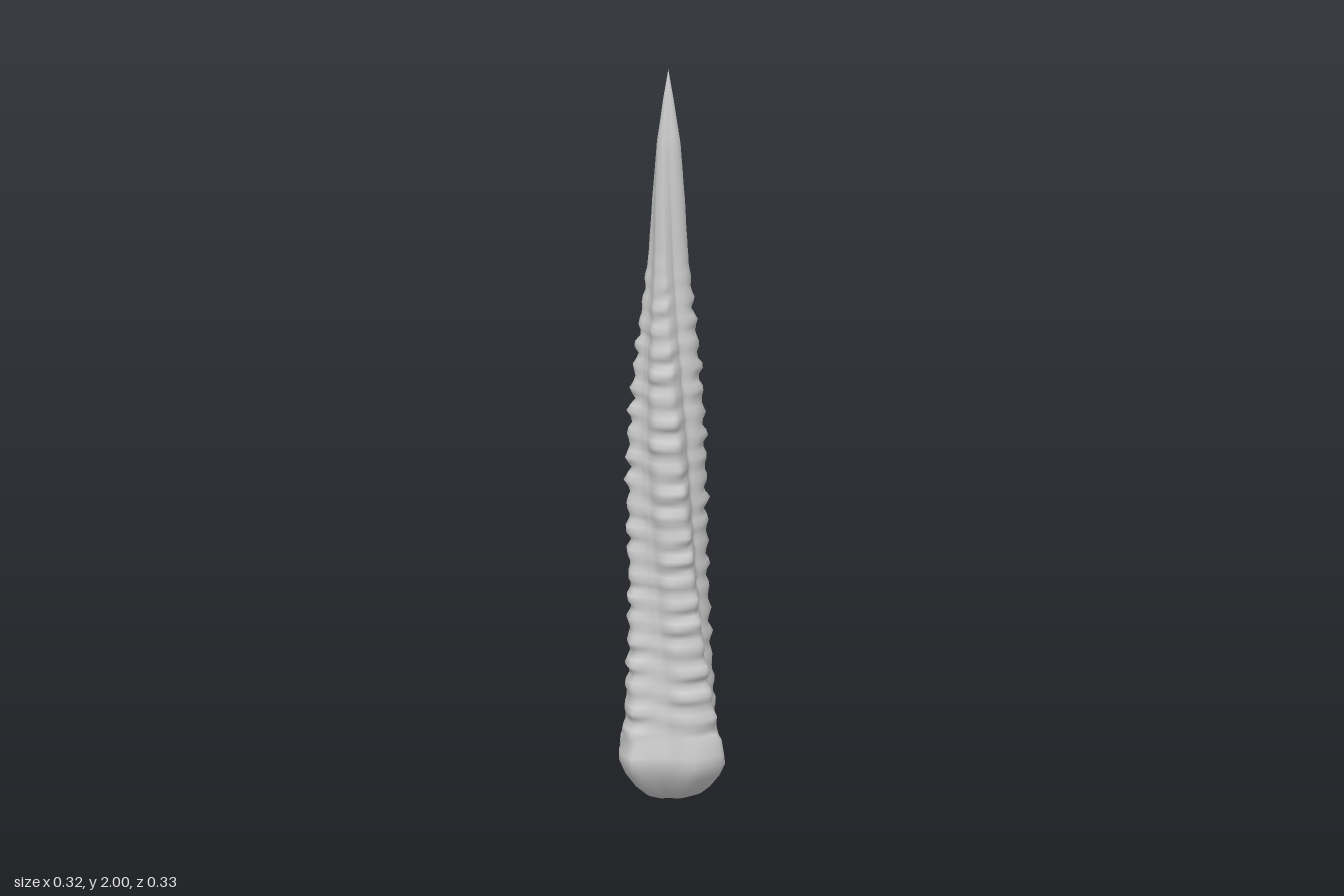
import * as THREE from 'three';

const { clamp, degToRad, euclideanModulo, lerp, smoothstep } = THREE.MathUtils;

// Horn radius factor up its height: [y, scale]
const PROFILE = [[0, 0], [0.004, 0.3], [0.02, 0.55], [0.045, 0.74], [0.08, 0.92], [0.115, 1.03], [0.14, 1.02],
  [0.18, 0.93], [0.3, 0.85], [0.4, 0.78], [0.6, 0.7], [0.8, 0.67], [1.0, 0.63], [1.2, 0.52], [1.4, 0.38],
  [1.5, 0.32], [1.65, 0.28], [1.8, 0.22], [1.92, 0.1], [2, 0]];

// Four swept lobes with a groove after each: [degrees from +x towards +z, radius]
const LOBES = [[-17, 0.105], [2, 0.135], [14, 0.162], [50, 0.155], [72, 0.128], [90, 0.132], [110, 0.17], [150, 0.138],
  [172, 0.115], [200, 0.168], [231, 0.155], [247, 0.122], [275, 0.163], [300, 0.15], [318, 0.135], [343, 0.105]];

const RIDGE_STEP = 0.062;

function sample(table, t) {
  let i = 1;
  while (i < table.length - 1 && table[i][0] < t) i++;
  const [a, va] = table[i - 1], [b, vb] = table[i];
  return lerp(va, vb, clamp((t - a) / (b - a), 0, 1));
}

// Radius of the surface at a height and angle
function radiusAt(y, deg) {
  // the lobes spiral around the axis above the bulb
  const twist = 50 * Math.max(0, y - 0.13);
  const a = euclideanModulo(deg - twist + 17, 360) - 17;
  // lobes soften into a rounder section at the tip
  const soften = smoothstep(y, 1.4, 1.95) * 0.5;
  const section = lerp(sample(LOBES, a), 0.14, soften);
  // angular growth ridges, strongest on the lobe crests and uneven in size
  const fade = smoothstep(y, 0.1, 0.2) * (1 - smoothstep(y, 1.2, 1.55));
  const rad = degToRad(a);
  const phase = 0.15 * Math.sin(2 * rad) + 0.1 * Math.sin(y * 9 + rad);
  const wave = 4 * Math.abs(euclideanModulo(y / RIDGE_STEP + phase, 1) - 0.5) - 1;
  const uneven = 0.75 + 0.35 * Math.sin(y * 37 + 3 * rad);
  const strength = 0.003 + 0.009 * smoothstep(section, 0.12, 0.168);
  return section * sample(PROFILE, y) + strength * fade * uneven * wave;
}

function hornGeometry() {
  const sides = 72, heights = [];
  for (const [y] of PROFILE) if (y > 0 && y < 0.18) heights.push(y);
  for (let y = 0.18; y < 1.99; y += RIDGE_STEP / 4) heights.push(y);
  const pos = [0, 0, 0], index = [];
  for (const y of heights) {
    const lean = -0.01 * smoothstep(y, 0.2, 1);
    for (let j = 0; j < sides; j++) {
      const deg = j * 360 / sides, t = degToRad(deg), r = radiusAt(y, deg);
      pos.push(lean + r * Math.cos(t), y, r * Math.sin(t));
    }
  }
  pos.push(-0.01, 2, 0);
  const tip = pos.length / 3 - 1, last = 1 + (heights.length - 1) * sides;
  for (let j = 0; j < sides; j++) {
    const k = (j + 1) % sides;
    index.push(0, 1 + j, 1 + k, tip, last + k, last + j);
    for (let i = 0; i < heights.length - 1; i++) {
      const a = 1 + i * sides, b = a + sides;
      index.push(a + j, b + j, a + k, a + k, b + j, b + k);
    }
  }
  const g = new THREE.BufferGeometry();
  g.setAttribute('position', new THREE.Float32BufferAttribute(pos, 3));
  g.setIndex(index);
  g.computeVertexNormals();
  return g;
}

export function createModel() {
  const group = new THREE.Group();
  group.name = 'ridgedHorn';
  const horn = new THREE.Mesh(hornGeometry(), new THREE.MeshStandardMaterial({ color: 0xcccccc }));
  horn.name = 'horn';
  group.add(horn);
  return group;
}
